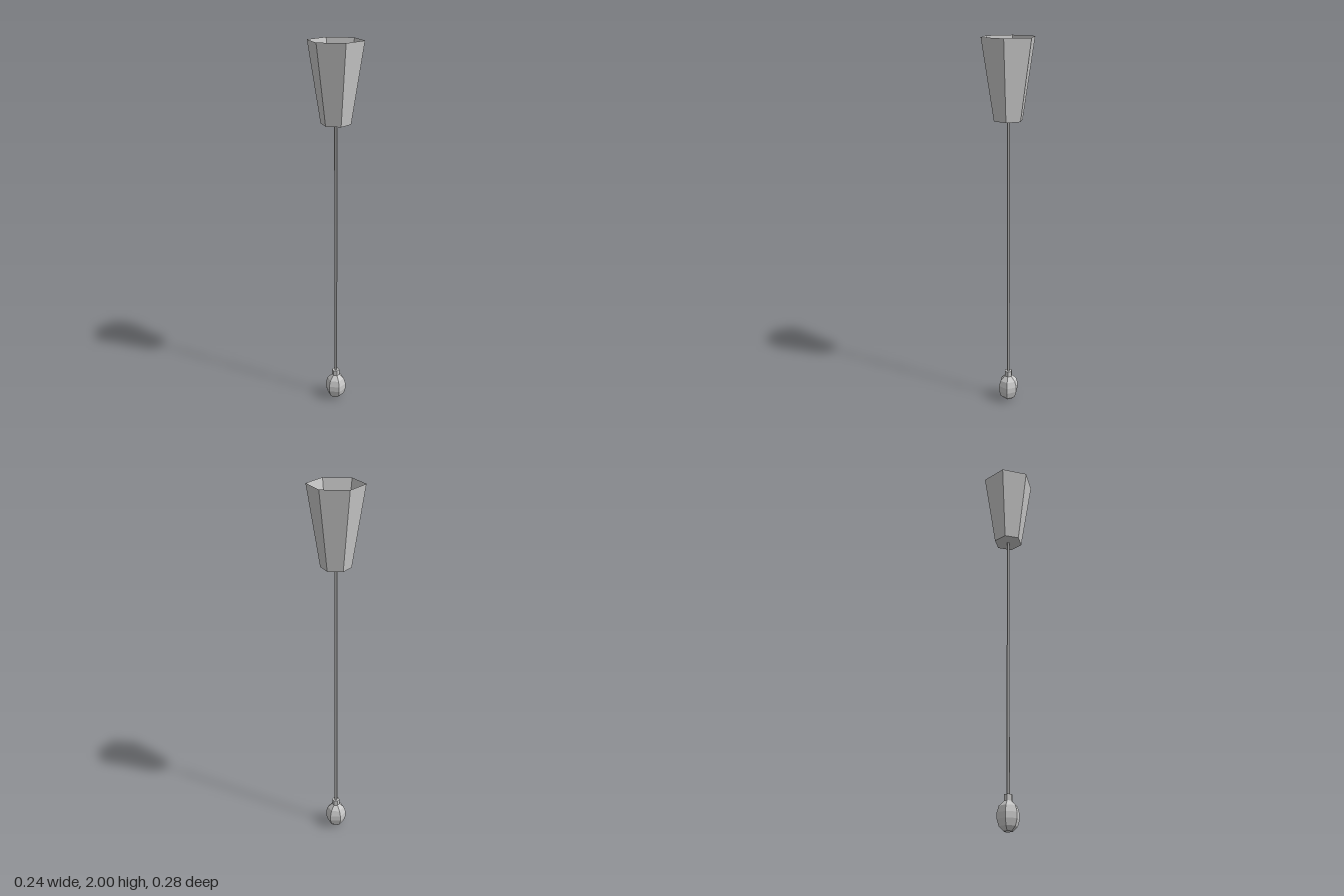
import * as THREE from 'three';

const SIDES = 6;

export function createModel() {
  const model = new THREE.Group();
  const material = new THREE.MeshStandardMaterial({ color: 0xcccccc, flatShading: true });
  const thinMaterial = material.clone();
  thinMaterial.side = THREE.DoubleSide;

  const lathe = (name, profile, mat) => {
    const points = profile.map(([r, y]) => new THREE.Vector2(r, y));
    const mesh = new THREE.Mesh(new THREE.LatheGeometry(points, SIDES), mat);
    mesh.name = name;
    model.add(mesh);
  };

  // open hexagonal cup with a thin floor
  lathe('ceilingCup', [[0, 1.595], [0.077, 1.595], [0.141, 2]], thinMaterial);

  // straight cable, its end just passing through the cup floor
  lathe('cable', [[0, 0.17], [0.008, 0.17], [0.008, 1.605], [0, 1.605]], material);

  // socket collar
  lathe('socket', [[0, 0.14], [0.021, 0.14], [0.021, 0.178], [0, 0.178]], material);

  // faceted bulb
  lathe('bulb', [
    [0, 0], [0.024, 0.005], [0.047, 0.027], [0.057, 0.06],
    [0.057, 0.09], [0.047, 0.122], [0.021, 0.147], [0, 0.147],
  ], material);

  return model;
}
